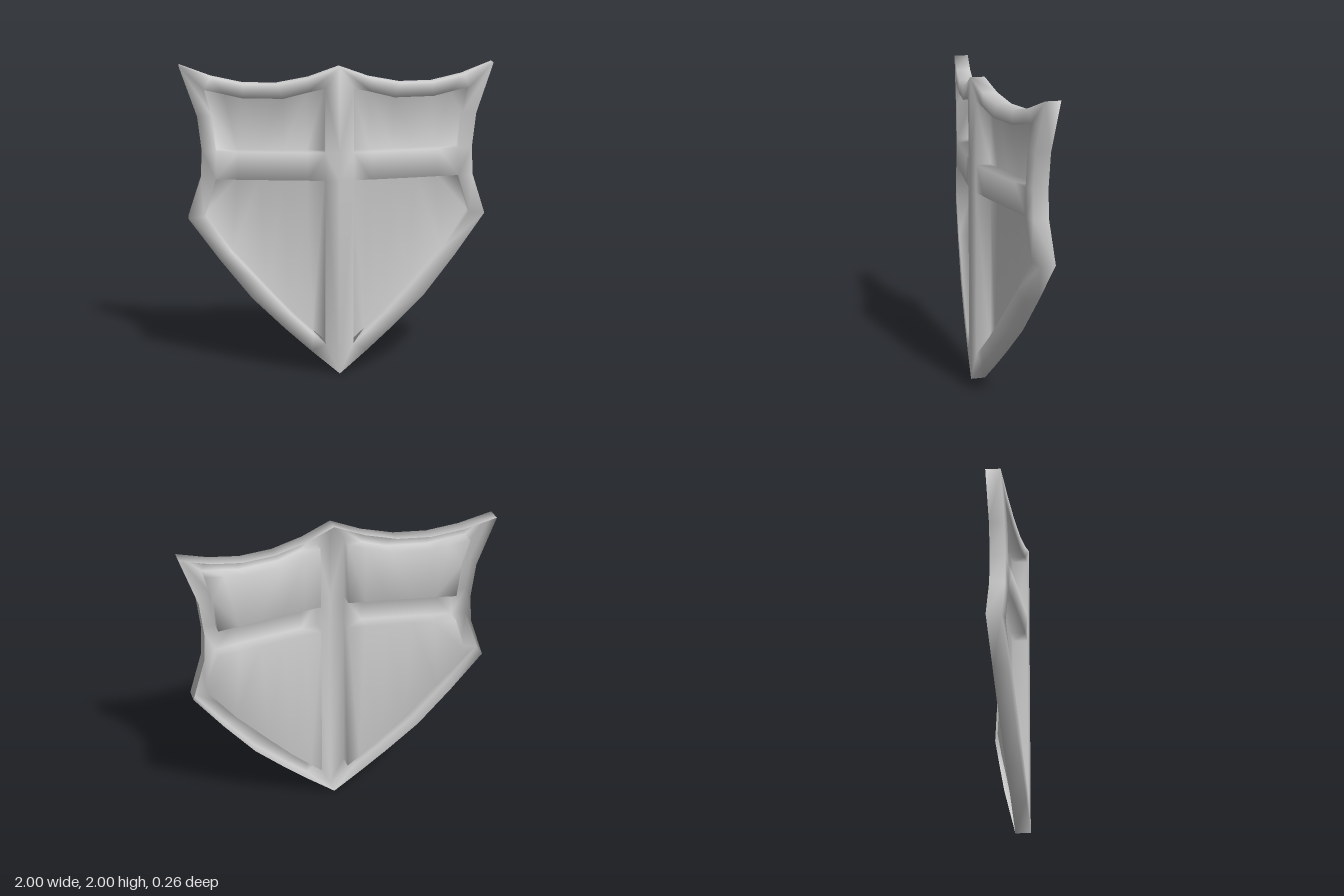
import * as THREE from 'three';
import { mergeVertices } from 'three/addons/utils/BufferGeometryUtils.js';

const DEPTH = 0.095; // depth of the rim and of the sunken panels

// The shield is folded along its centre line and sweeps back on both sides.
const frontZ = (x) => 0.133 - 0.13 * x - 0.035 * x * x;

// Half outline, from the top of the centre line clockwise to the bottom tip.
const outer = [
  [0, 2], [0.19, 1.93], [0.39, 1.89], [0.6, 1.89], [0.8, 1.93], [1, 2],
  [0.89, 1.68], [0.865, 1.46], [0.875, 1.28], [0.96, 1.02],
  [0.765, 0.755], [0.56, 0.5], [0.35, 0.3], [0.18, 0.15], [0, 0],
];
// Matching inner edge of the rim: 0-7 bound the upper panel, 8-14 the lower.
const inner = [
  [0.09, 1.865], [0.2, 1.84], [0.35, 1.8], [0.605, 1.8], [0.72, 1.825], [0.845, 1.85],
  [0.8, 1.69], [0.775, 1.46], [0.78, 1.28], [0.855, 1.03],
  [0.68, 0.8], [0.46, 0.56], [0.3, 0.39], [0.17, 0.27], [0.09, 0.2],
];
// Upper and lower edge of the horizontal bar.
const barX = [0.09, 0.2, 0.35, 0.5, 0.64];
const barTop = [...barX.map((x) => [x, 1.46]), inner[7]];
const barBottom = [...barX.map((x) => [x, 1.28]), inner[8]];

function createHalf(positions, side) {
  const front = ([x, y]) => [side * x, y, frontZ(x)];
  const back = ([x, y]) => [side * x, y, frontZ(x) - DEPTH];
  const tri = (a, b, c) => positions.push(...a, ...(side > 0 ? [...b, ...c] : [...c, ...b]));
  const quad = (a, b, c, d) => { tri(a, b, c); tri(a, c, d); };

  // Strip of quads between two chains of points
  const strip = (a, b, place) => {
    for (let i = 0; i < a.length - 1; i++) {
      quad(place(a[i]), place(b[i]), place(b[i + 1]), place(a[i + 1]));
    }
  };
  // Wall from front to back around a closed panel
  const panelWall = (loop) => loop.forEach((p, i) => {
    const q = loop[(i + 1) % loop.length];
    quad(front(q), front(p), back(p), back(q));
  });

  // Rim face and its outer side wall
  strip(outer, inner, front);
  for (let i = 0; i < outer.length - 1; i++) {
    const p = outer[i], q = outer[i + 1];
    quad(front(p), front(q), back(q), back(p));
  }

  // Cross: horizontal bar and half of the vertical bar
  strip(barTop, barBottom, front);
  strip([[0, 2], [0, 1.46], [0, 1.28], [0, 0]].reverse(),
    [inner[0], barTop[0], barBottom[0], inner[14]].reverse(),
    front);

  // Upper panel
  panelWall([...inner.slice(0, 8), ...barTop.slice(0, 5).reverse()]);
  strip(inner.slice(0, 5), barTop.slice(0, 5), back);
  quad(back(inner[4]), back(barTop[4]), back(inner[6]), back(inner[5]));
  tri(back(barTop[4]), back(inner[7]), back(inner[6]));

  // Lower panel
  panelWall([...inner.slice(8), ...barBottom.slice(0, 5)]);
  strip(barBottom, inner.slice(9).reverse(), back);
}

export function createModel() {
  const positions = [];
  createHalf(positions, 1);
  createHalf(positions, -1);

  // The vertical bar was strung bottom to top, so turn any face that looks backwards
  for (let i = 0; i < positions.length; i += 9) {
    const [ax, ay, , bx, by, , cx, cy] = positions.slice(i, i + 9);
    if ((bx - ax) * (cy - ay) - (by - ay) * (cx - ax) < -1e-6) {
      const b = positions.slice(i + 3, i + 6);
      const c = positions.slice(i + 6, i + 9);
      positions.splice(i + 3, 6, ...c, ...b);
    }
  }

  // Shared corners give the whole shell soft, rounded shading
  let geometry = new THREE.BufferGeometry();
  geometry.setAttribute('position', new THREE.Float32BufferAttribute(positions, 3));
  geometry = mergeVertices(geometry, 1e-4);
  geometry.computeVertexNormals();

  const material = new THREE.MeshStandardMaterial({ color: 0xcccccc, side: THREE.DoubleSide });
  const shell = new THREE.Mesh(geometry, material);
  shell.name = 'shieldShell';

  const group = new THREE.Group();
  group.name = 'shield';
  group.add(shell);
  return group;
}
